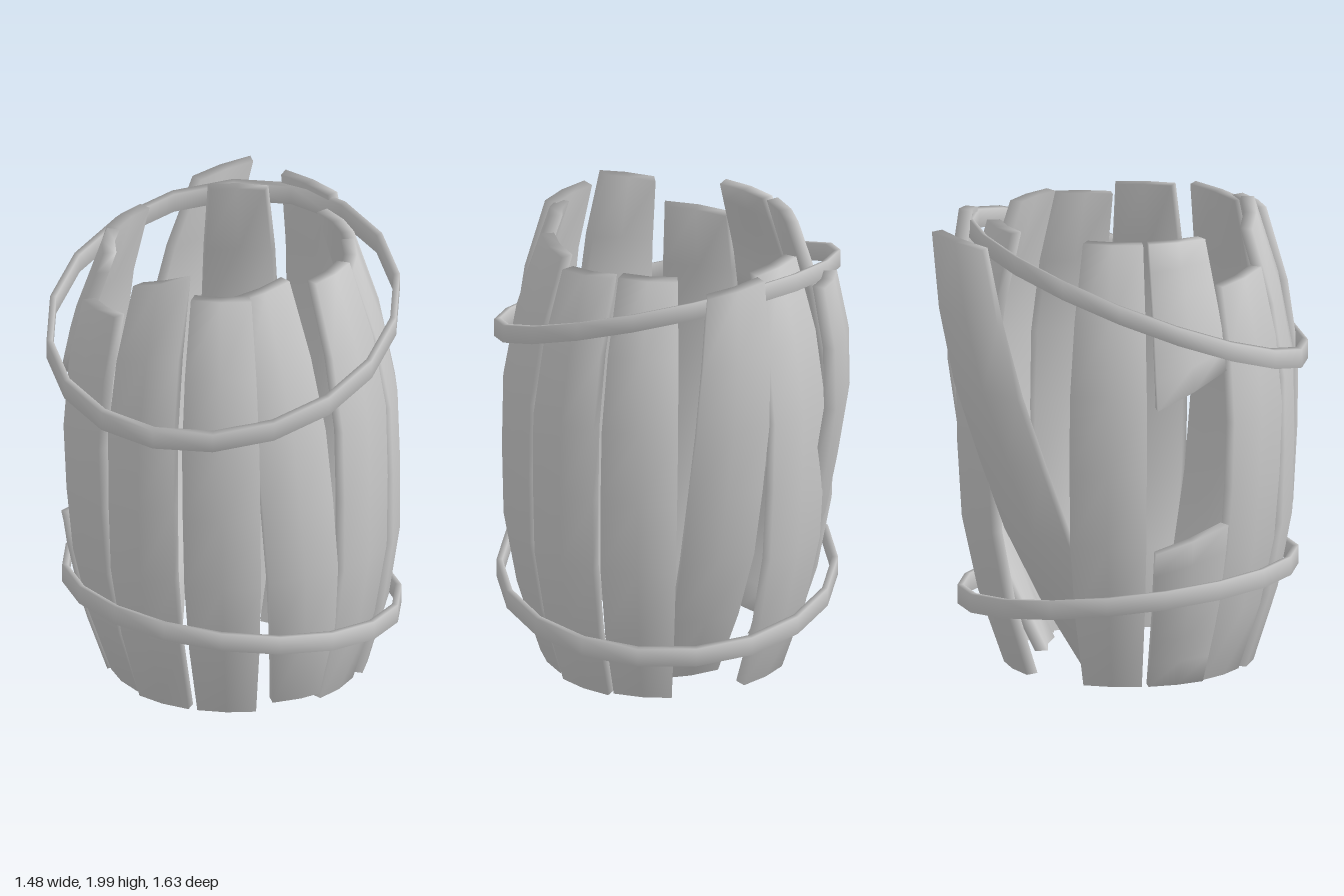
import * as THREE from 'three';
import { mergeVertices } from 'three/addons/utils/BufferGeometryUtils.js';

const CX = 0.03, CZ = 0.07; // barrel axis
const THICK = 0.056, ARC = 0.47;
const material = new THREE.MeshStandardMaterial({ color: 0xcccccc });

// Outer barrel radius by height
const PROFILE = [[0, 0.53], [0.33, 0.635], [0.68, 0.7], [1.25, 0.71], [1.6, 0.655], [1.94, 0.55], [2.1, 0.5]];
function radiusAt(y) {
  let i = 1;
  while (i < PROFILE.length - 1 && PROFILE[i][0] < y) i++;
  const [y0, r0] = PROFILE[i - 1], [y1, r1] = PROFILE[i];
  return r0 + (r1 - r0) * (y - y0) / (y1 - y0);
}

// Soft shading across every edge
function smoothMesh(geo) {
  geo.deleteAttribute('uv');
  geo.deleteAttribute('normal');
  const merged = mergeVertices(geo);
  merged.computeVertexNormals();
  return new THREE.Mesh(merged, material);
}

// A bowed plank: y0..y1 is its extent, slant0/slant1 skew its ends,
// low/high are sideways [x, z] shifts of its bottom and top
function stave({ angle, y0 = 0.01, y1 = 1.94, slant0 = 0, slant1 = 0, low = [0, 0], high = [0, 0] }) {
  const geo = new THREE.BoxGeometry(1, 1, 1, 2, 6, 1);
  const p = geo.attributes.position;
  for (let i = 0; i < p.count; i++) {
    const u = p.getX(i), v = p.getY(i) + 0.5;
    const y = THREE.MathUtils.lerp(y0 + slant0 * u, y1 + slant1 * u, v);
    const a = THREE.MathUtils.degToRad(angle) + u * ARC;
    const r = radiusAt(y) - (p.getZ(i) < 0 ? THICK : 0);
    const t = y / 1.94;
    p.setXYZ(i,
      CX + r * Math.sin(a) + THREE.MathUtils.lerp(low[0], high[0], t),
      y,
      CZ + r * Math.cos(a) + THREE.MathUtils.lerp(low[1], high[1], t));
  }
  return smoothMesh(geo);
}

// A flat band whose height follows a tilted plane
function hoop(x, z, rx, rz, y, slopeX, slopeZ) {
  const h = 0.04, t = 0.035;
  const section = [[1 - t, -h], [1, -h], [1, h], [1 - t, h], [1 - t, -h]].map(q => new THREE.Vector2(...q));
  const geo = new THREE.LatheGeometry(section, 18);
  const p = geo.attributes.position;
  for (let i = 0; i < p.count; i++) {
    const dx = p.getX(i) * rx, dz = p.getZ(i) * rz;
    p.setXYZ(i, x + dx, y + p.getY(i) + slopeX * dx + slopeZ * dz, z + dz);
  }
  return smoothMesh(geo);
}

export function createModel() {
  const group = new THREE.Group();
  const add = (name, mesh) => { mesh.name = name; group.add(mesh); };

  // Staves round the barrel, some of them loose and leaning
  const staves = [
    { angle: 0, low: [0.01, 0], high: [-0.01, 0.04] },
    { angle: 30, y0: 0.03, y1: 1.95, slant1: 0.04, low: [0.05, -0.05], high: [-0.1, 0.03] },
    { angle: 60, low: [0.01, 0], high: [-0.02, 0] },
    { angle: 90, y1: 1.91, slant1: 0.03, low: [0.04, -0.02], high: [-0.03, 0.01] },
    { angle: 120, low: [0.02, 0], high: [-0.02, 0] },
    { angle: 150, y0: 0.04, y1: 1.95, slant1: 0.04, low: [-0.04, 0.15], high: [0.03, -0.17] },
    { angle: 180, low: [-0.01, 0], high: [-0.01, -0.06] },
    { angle: 210, y0: 0.05, y1: 1.92, slant1: -0.04, low: [-0.09, 0.23], high: [0.18, -0.36] },
    { angle: 240, high: [-0.01, 0] },
    { angle: 300, y1: 1.76, slant1: 0.03, low: [0.01, -0.02], high: [-0.04, 0] },
    { angle: 330, y1: 1.96, slant1: 0.08, high: [-0.01, 0] },
  ];
  staves.forEach((s, i) => add('stave' + (i + 1), stave(s)));

  // One stave snapped in two
  add('brokenStaveTop', stave({ angle: 270, y0: 1.33, slant0: 0.14, low: [-0.08, 0], high: [0, 0] }));
  add('brokenStaveBottom', stave({ angle: 270, y1: 0.68, slant1: 0.1, high: [-0.06, 0] }));

  // Slipped hoops
  add('upperHoop', hoop(-0.005, 0.1, 0.75, 0.715, 1.62, 0.1, -0.37));
  add('lowerHoop', hoop(0.03, 0.07, 0.72, 0.72, 0.365, -0.105, 0.077));
  return group;
}
